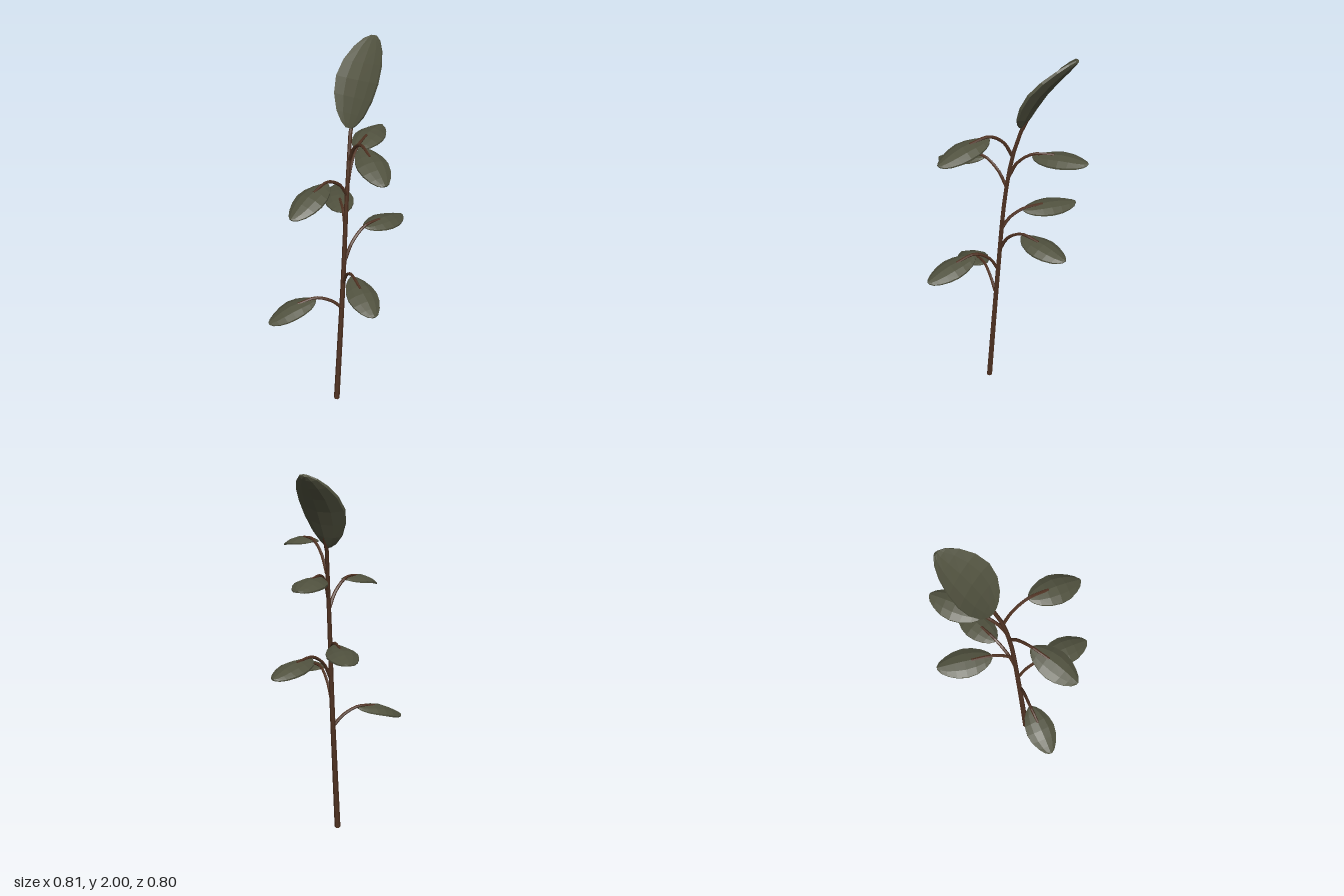
import * as THREE from 'three';

const V = (x, y, z) => new THREE.Vector3(x, y, z);
const leafMat = new THREE.MeshStandardMaterial({ color: 0x51523f, flatShading: true });
const barkMat = new THREE.MeshStandardMaterial({ color: 0x4f3222, flatShading: true });

// Joins rings of points (counter-clockwise seen from the far end) into a closed skin.
function loft(rings) {
  const n = rings[0].length, last = (rings.length - 1) * n, index = [];
  for (let i = 0; i < rings.length - 1; i++) {
    for (let j = 0; j < n; j++) {
      const a = i * n + j, b = i * n + (j + 1) % n;
      index.push(a, b, b + n, a, b + n, a + n);
    }
  }
  for (let j = 1; j < n - 1; j++) index.push(0, j + 1, j, last, last + j, last + j + 1);
  const geo = new THREE.BufferGeometry().setFromPoints(rings.flat());
  geo.setIndex(index);
  geo.computeVertexNormals();
  return geo;
}

// Tapered twig along a curve.
function twig(name, points, r0, r1, segments) {
  const curve = new THREE.CatmullRomCurve3(points);
  const frames = curve.computeFrenetFrames(segments);
  const rings = [];
  for (let i = 0; i <= segments; i++) {
    const t = i / segments, c = curve.getPointAt(t), r = r0 + (r1 - r0) * t;
    rings.push(Array.from({ length: 6 }, (_, j) => {
      const a = j / 6 * Math.PI * 2;
      return c.clone().addScaledVector(frames.normals[i], r * Math.cos(a))
        .addScaledVector(frames.binormals[i], r * Math.sin(a));
    }));
  }
  const mesh = new THREE.Mesh(loft(rings), barkMat);
  mesh.name = name;
  return mesh;
}

// Leaf outline: [position along the leaf, share of the half width]
const OUTLINE = [[0, 0.14], [0.05, 0.38], [0.15, 0.66], [0.32, 0.91], [0.5, 1],
  [0.68, 0.9], [0.84, 0.66], [0.95, 0.38], [1, 0.12]];
// Cross-section: thin rim, thicker along the midrib
const SECTION = [[1, -0.4], [1, 0.4], [0.55, 0.8], [0, 1], [-0.55, 0.8],
  [-1, 0.4], [-1, -0.4], [-0.55, -0.8], [0, -1], [0.55, -0.8]];

// Leaf blade arched across its width, with its margins bent down.
function leafBlade(name, points, halfWidth, side) {
  const curve = new THREE.CatmullRomCurve3(points);
  const rings = OUTLINE.map(([t, k]) => {
    const c = curve.getPointAt(t), tan = curve.getTangentAt(t);
    const w = side ? side.clone().addScaledVector(tan, -side.dot(tan)) : V(0, 1, 0).cross(tan);
    w.normalize();
    const n = tan.clone().cross(w);
    const h = halfWidth * 0.15 * (0.35 + 0.65 * k);
    return SECTION.map(([u, v]) => c.clone().addScaledVector(w, u * k * halfWidth)
      .addScaledVector(n, v * h - 0.24 * halfWidth * k * u * u));
  });
  const mesh = new THREE.Mesh(loft(rings), leafMat);
  mesh.name = name;
  return mesh;
}

// Side leaves: stalk root, then blade base, middle and tip
const LEAVES = [
  [V(-0.005, 0.62, 0), V(-0.145, 0.702, -0.015), V(-0.275, 0.682, -0.018), V(-0.402, 0.614, -0.02)],
  [V(0.01, 0.77, -0.01), V(0.002, 0.902, 0.125), V(0.005, 0.883, 0.265), V(0.01, 0.838, 0.395)],
  [V(0.018, 0.9, -0.015), V(0.15, 1.048, -0.065), V(0.28, 1.045, -0.11), V(0.4, 1.016, -0.155)],
  [V(0.025, 1.03, -0.02), V(0.055, 1.125, -0.13), V(0.085, 1.135, -0.265), V(0.12, 1.124, -0.4)],
  [V(0.04, 1.28, -0.04), V(-0.085, 1.402, 0.015), V(-0.2, 1.385, 0.08), V(-0.315, 1.325, 0.142)],
  [V(0.06, 1.47, -0.055), V(0.066, 1.6, 0.075), V(0.067, 1.586, 0.21), V(0.07, 1.534, 0.344)],
  [V(0.047, 1.34, -0.045), V(0.13, 1.478, -0.13), V(0.235, 1.497, -0.222), V(0.337, 1.486, -0.305)],
];

export function createModel() {
  const plant = new THREE.Group();
  plant.name = 'leafySprig';

  // Main stem, leaning and bending toward the top leaf
  plant.add(twig('stem', [V(-0.04, 0.002, 0.015), V(-0.015, 0.4, 0.002), V(0.01, 0.8, -0.013),
    V(0.033, 1.2, -0.033), V(0.057, 1.45, -0.06), V(0.08, 1.6, -0.095), V(0.11, 1.69, -0.12)],
  0.016, 0.009, 16));

  // Arching stalks that run on over the upper face of each blade
  LEAVES.forEach(([root, base, mid, tip], i) => {
    const leaf = new THREE.Group();
    leaf.name = 'leaf' + (i + 1);
    const arch = root.clone().lerp(base, 0.37);
    arch.y = root.y + (base.y - root.y) * 0.65;
    const end = base.clone().lerp(mid, 0.75);
    const lift = V(0, 0.01, 0);
    leaf.add(twig('stalk', [root, arch, base.clone().add(lift), end.add(lift)], 0.009, 0.007, 10));
    leaf.add(leafBlade('blade', [base, mid, tip], 0.077));
    plant.add(leaf);
  });

  // Large upright leaf at the tip
  plant.add(leafBlade('topLeaf', [V(0.075, 1.615, -0.1), V(0.16, 1.822, -0.17), V(0.27, 1.995, -0.262)],
    0.12, V(0.5, 0.07, 0.83)));
  return plant;
}
